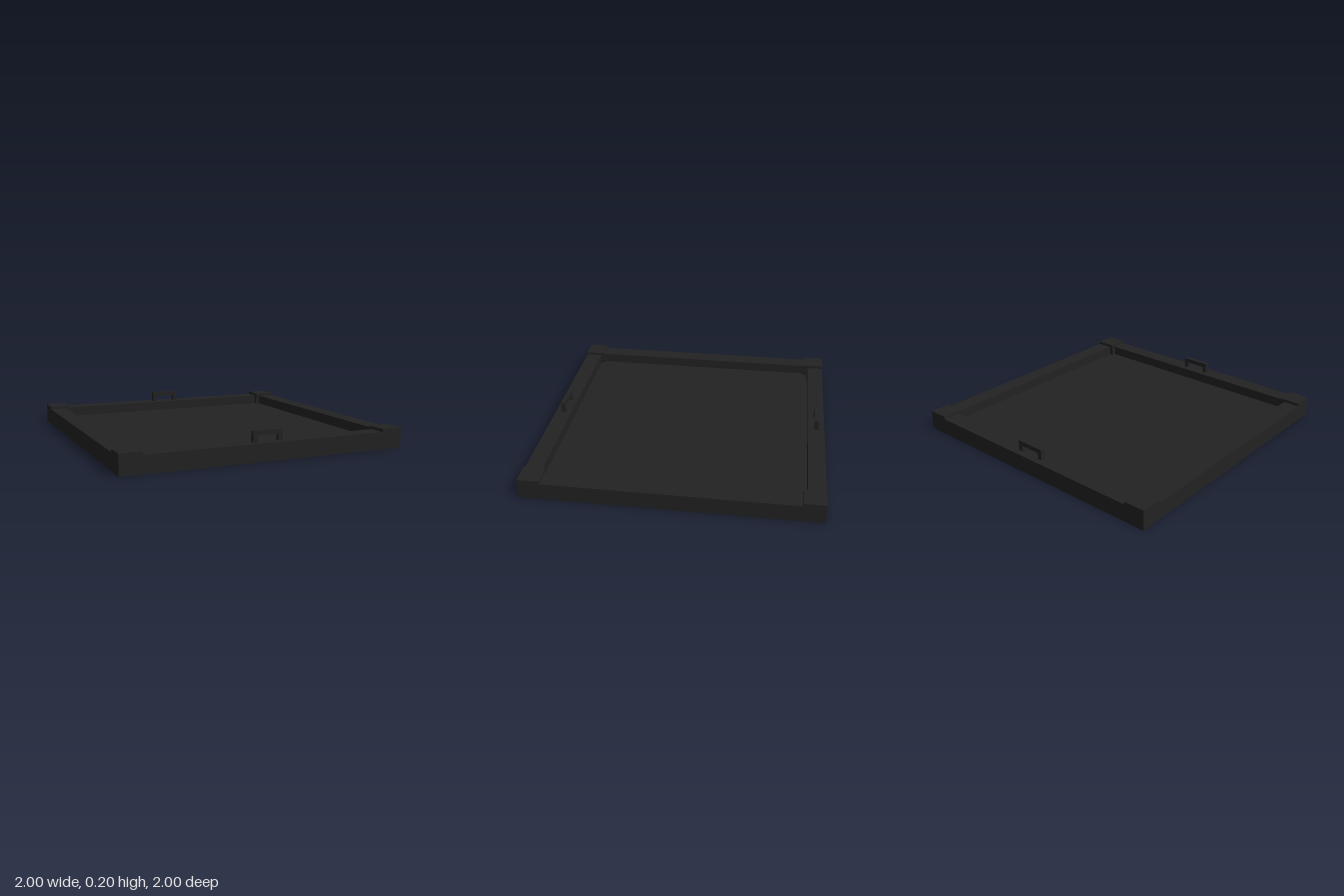
import * as THREE from 'three';

export function createModel() {
  const model = new THREE.Group();
  const black = new THREE.MeshStandardMaterial({ color: 0x222222 });
  black.name = 'matte black';

  // Box given by its size, centre x and z, and the height of its underside
  function box(name, w, h, d, x, bottom, z, parent = model) {
    const mesh = new THREE.Mesh(new THREE.BoxGeometry(w, h, d), black);
    mesh.name = name;
    mesh.position.set(x, bottom + h / 2, z);
    parent.add(mesh);
  }

  const post = 0.15, rail = 0.12, floor = 0.05;
  const span = 2 - 2 * post;

  // Floor panel fits between the rails
  box('floorPanel', 2 - 2 * rail, floor, 2 - 2 * rail, 0, 0, 0);

  for (const s of [1, -1]) {
    const end = s > 0 ? 'front' : 'back';
    const side = s > 0 ? 'left' : 'right';

    // Rails run between the corner blocks
    box(end + 'Rail', span, 0.12, rail, 0, 0, s * (1 - rail / 2));
    box(side + 'Rail', rail, 0.12, span, s * (1 - rail / 2), 0, 0);

    // Raised corner blocks
    for (const t of [1, -1]) {
      box(end + (t > 0 ? 'Left' : 'Right') + 'Corner', post, 0.14, post,
        t * (1 - post / 2), 0, s * (1 - post / 2));
    }

    // Handle: two legs and a grip bar standing on the end rail
    const handle = new THREE.Group();
    handle.name = end + 'Handle';
    handle.position.set(0, 0.12, s * 0.94);
    for (const t of [1, -1]) box('handleLeg', 0.03, 0.043, 0.032, t * 0.09, 0, 0, handle);
    box('handleGrip', 0.21, 0.032, 0.032, 0, 0.043, 0, handle);
    model.add(handle);
  }

  return model;
}
